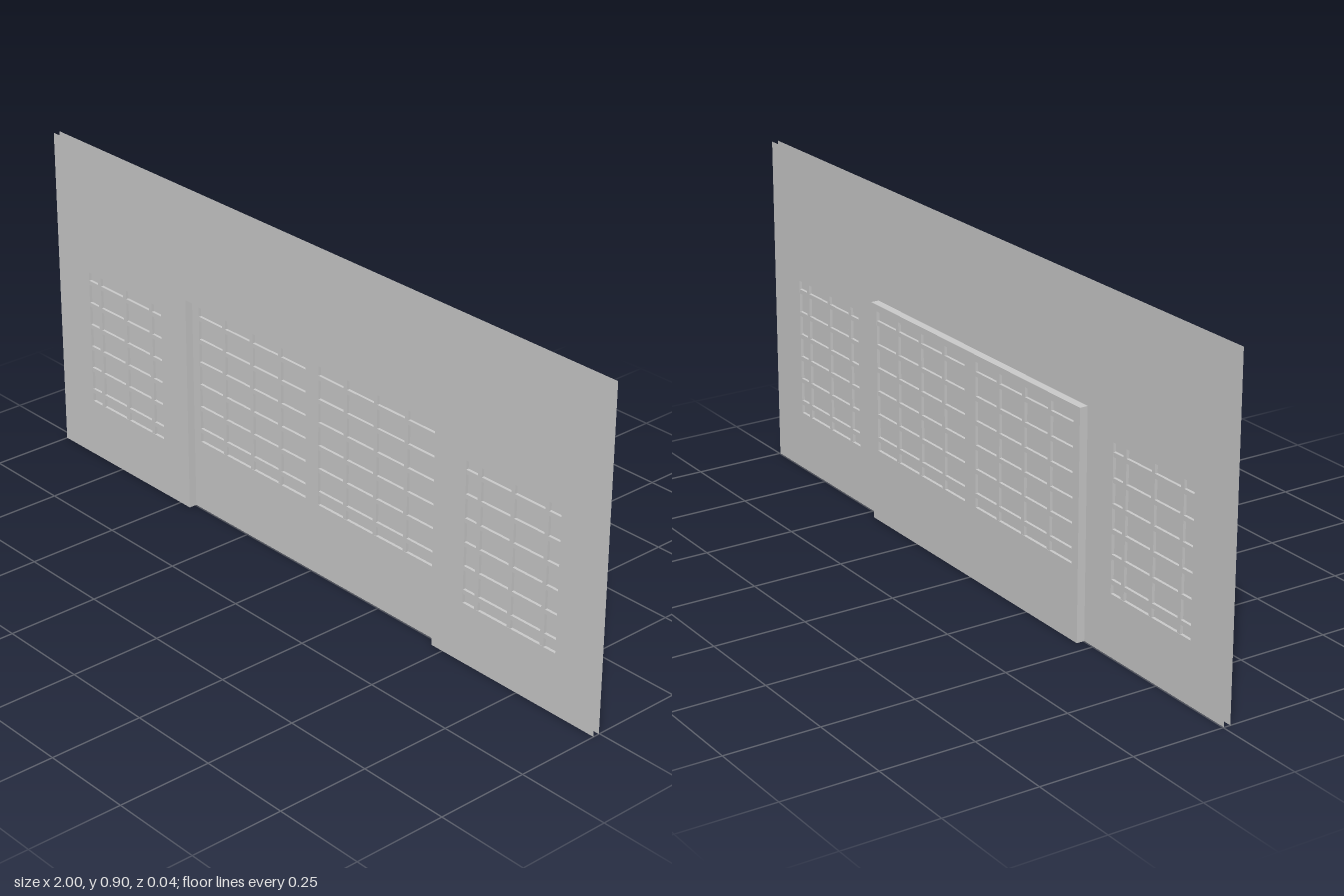
import * as THREE from 'three';

const THICK = 0.018; // panel thickness, front sheet to back sheet
const DOOR_X = 0.462, DOOR_TOP = 0.6;
const WALL_Z = 0.02, DOOR_Z = -0.002; // front sheet of each panel

const material = new THREE.MeshStandardMaterial({ color: 0xcccccc, side: THREE.DoubleSide, flatShading: true });

const SIDE_WINDOW = { x: 0.717, y: 0.353, w: 0.305, h: 0.38 };
const DOOR_WINDOW = { x: 0.23, y: 0.39, w: 0.412, h: 0.384 };

function add(parent, name, geometry, x = 0, y = 0, z = 0) {
  const mesh = new THREE.Mesh(geometry, material);
  mesh.name = name;
  mesh.position.set(x, y, z);
  parent.add(mesh);
  return mesh;
}

function box(parent, name, w, h, d, x, y, z) {
  return add(parent, name, new THREE.BoxGeometry(w, h, d), x, y, z);
}

// Rectangular hole in a sheet
function cutWindow(shape, { x, y, w, h }, side) {
  const cx = x * side;
  shape.holes.push(new THREE.Path([
    new THREE.Vector2(cx - w / 2, y - h / 2),
    new THREE.Vector2(cx - w / 2, y + h / 2),
    new THREE.Vector2(cx + w / 2, y + h / 2),
    new THREE.Vector2(cx + w / 2, y - h / 2),
  ]));
}

// Front and back sheets of a panel, with open edges
function addSheets(parent, name, points, win, frontZ) {
  const shape = new THREE.Shape(points.map(([x, y]) => new THREE.Vector2(x, y)));
  for (const side of [-1, 1]) cutWindow(shape, win, side);
  const geometry = new THREE.ShapeGeometry(shape);
  add(parent, name + 'Front', geometry, 0, 0, frontZ);
  add(parent, name + 'Back', geometry, 0, 0, frontZ - THICK);
}

// Strip running through the depth, between two points of the elevation
function addStrip(parent, name, [x1, y1], [x2, y2], zFront, zBack) {
  const length = Math.hypot(x2 - x1, y2 - y1);
  const geometry = new THREE.PlaneGeometry(length, zFront - zBack).rotateX(-Math.PI / 2);
  const mesh = add(parent, name, geometry, (x1 + x2) / 2, (y1 + y2) / 2, (zFront + zBack) / 2);
  mesh.rotation.z = Math.atan2(y2 - y1, x2 - x1);
}

// Recessed pane, reveal and crossing glazing bars
function makeWindow(name, { x, y, w, h }, side, frontZ) {
  const group = new THREE.Group();
  group.name = name;
  group.position.set(x * side, y, frontZ - THICK / 2);
  const bar = 0.012, depth = THICK - 0.001;

  box(group, 'pane', w + 0.03, h + 0.02, 0.002, 0, 0, 0);

  const corners = [[-w / 2, -h / 2], [w / 2, -h / 2], [w / 2, h / 2], [-w / 2, h / 2]];
  corners.forEach((c, i) => addStrip(group, 'reveal', c, corners[(i + 1) % 4], THICK / 2, -THICK / 2));

  for (const i of [-1, 0, 1]) box(group, 'uprightBar', bar, h, depth, i * 0.108, 0, 0);
  for (let i = 0; i < 6; i++) box(group, 'crossBar', w, bar, depth, 0, (i - 2.5) * 0.064, 0);
  return group;
}

export function createModel() {
  const model = new THREE.Group();
  model.name = 'wallWithDoor';

  // Wall with the doorway notched out of its lower edge
  const wall = new THREE.Group();
  wall.name = 'wall';
  addSheets(wall, 'wall', [
    [-1, 0], [-DOOR_X, 0], [-DOOR_X, DOOR_TOP], [DOOR_X, DOOR_TOP],
    [DOOR_X, 0], [1, 0], [1, 0.9], [-1, 0.9],
  ], SIDE_WINDOW, WALL_Z);

  // Door set back behind the wall
  const door = new THREE.Group();
  door.name = 'door';
  addSheets(door, 'door', [
    [-DOOR_X, 0], [DOOR_X, 0], [DOOR_X, DOOR_TOP], [-DOOR_X, DOOR_TOP],
  ], DOOR_WINDOW, DOOR_Z);

  // Jambs, lintel and door underside
  const doorBack = DOOR_Z - THICK;
  for (const s of [-1, 1]) addStrip(door, 'jamb', [s * DOOR_X, 0], [s * DOOR_X, DOOR_TOP], WALL_Z, doorBack);
  addStrip(door, 'lintel', [-DOOR_X, DOOR_TOP], [DOOR_X, DOOR_TOP], WALL_Z, doorBack);
  addStrip(door, 'doorUnderside', [-DOOR_X, 0], [DOOR_X, 0], DOOR_Z, doorBack);

  for (const s of [-1, 1]) {
    const hand = s > 0 ? 'left' : 'right';
    wall.add(makeWindow(hand + 'WallWindow', SIDE_WINDOW, s, WALL_Z));
    door.add(makeWindow(hand + 'DoorWindow', DOOR_WINDOW, s, DOOR_Z));
  }

  model.add(wall, door);
  return model;
}
